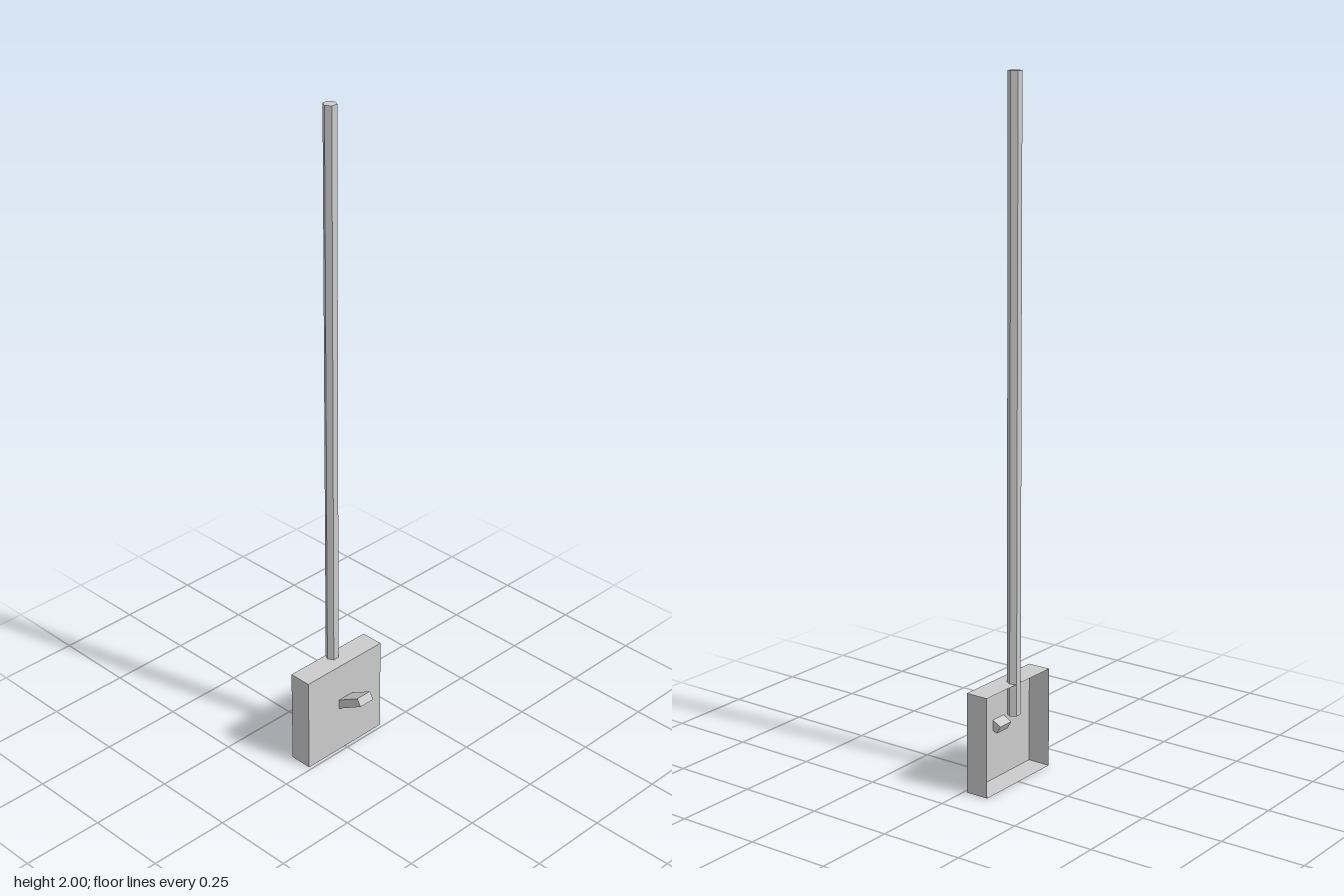
import * as THREE from 'three';

export function createModel() {
  const group = new THREE.Group();
  const solid = new THREE.MeshStandardMaterial({ color: 0xcccccc, flatShading: true });
  const sheet = new THREE.MeshStandardMaterial({ color: 0xcccccc, flatShading: true, side: THREE.DoubleSide });

  const add = (name, geometry, material, x, y, z) => {
    const mesh = new THREE.Mesh(geometry, material);
    mesh.name = name;
    mesh.position.set(x, y, z);
    group.add(mesh);
    return mesh;
  };

  // Thin-walled square housing, open at the back (the last box face, -z, is dropped)
  const size = 0.296, depth = 0.07;
  const shell = new THREE.BoxGeometry(size, size, depth);
  shell.setIndex(Array.from(shell.index.array).slice(0, 30));
  shell.clearGroups();
  add('housing', shell, sheet, 0, size / 2, -0.045);

  // Hexagonal pole with corners on the left and right, reaching down into the housing
  const poleBottom = 0.2, poleTop = 2;
  const pole = new THREE.CylinderGeometry(0.0195, 0.0195, poleTop - poleBottom, 6, 1, false, Math.PI / 2);
  add('pole', pole, solid, 0, (poleTop + poleBottom) / 2, -0.063);

  // Lever tilted up 30 degrees, passing through the front plate
  const tilt = Math.PI / 6, length = 0.118;
  const lever = add('lever', new THREE.BoxGeometry(0.052, 0.026, length), solid, 0.001,
    0.211 - Math.sin(tilt) * length / 2, 0.0725 - Math.cos(tilt) * length / 2);
  lever.rotation.x = -tilt;

  return group;
}
